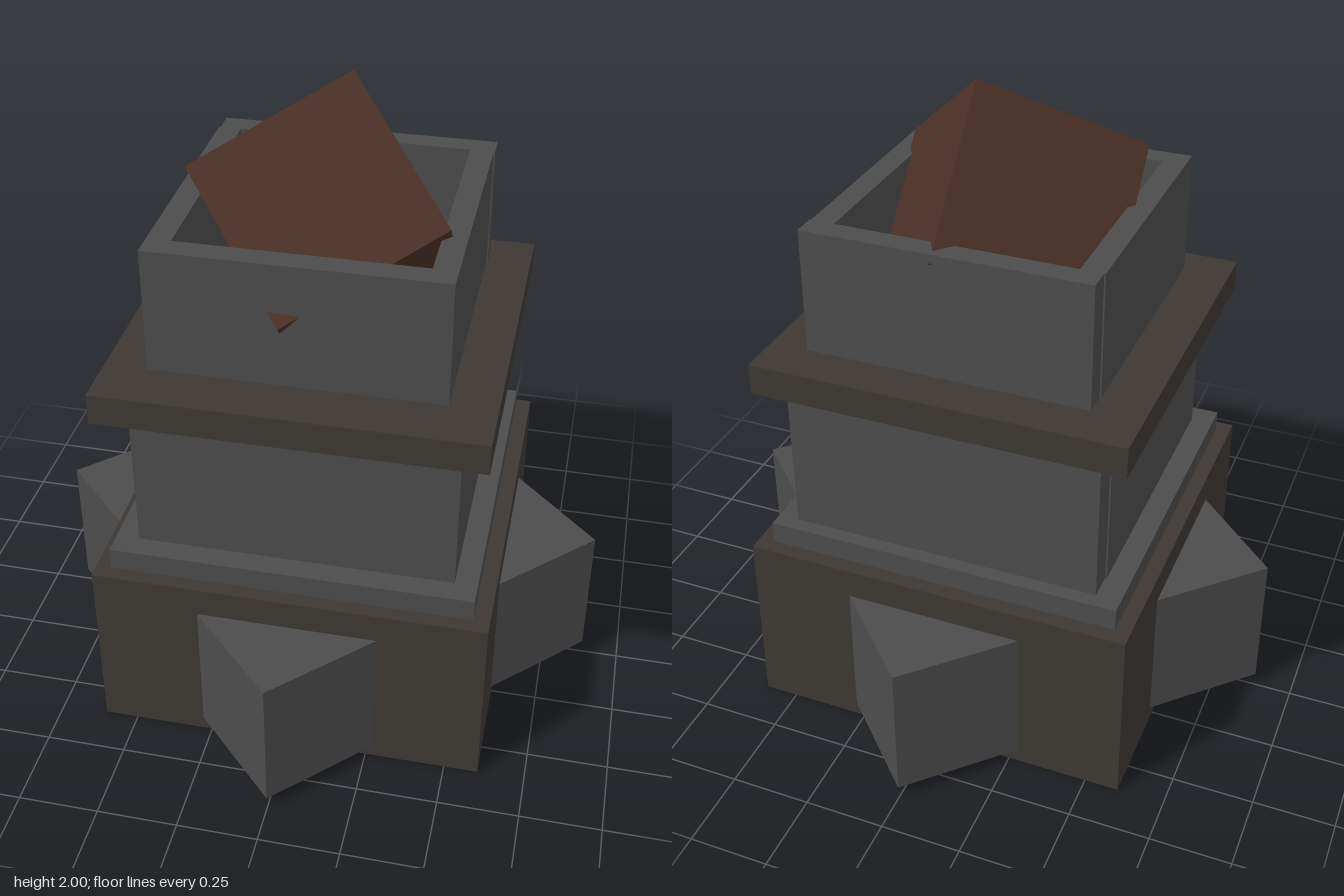
import * as THREE from 'three';

export function createModel() {
  const model = new THREE.Group();
  const mat = (color) => new THREE.MeshStandardMaterial({ color, flatShading: true });
  const stone = mat(0x4c4c4c);
  const trim = mat(0x3d3833);
  const rust = mat(0x4a3026);

  // Box given by its minimum and maximum corners
  const block = (name, material, [x0, y0, z0], [x1, y1, z1], parent = model) => {
    const mesh = new THREE.Mesh(new THREE.BoxGeometry(x1 - x0, y1 - y0, z1 - z0), material);
    mesh.position.set((x0 + x1) / 2, (y0 + y1) / 2, (z0 + z1) / 2);
    mesh.name = name;
    parent.add(mesh);
    return mesh;
  };

  // Four walls around a square opening; the back wall sits slightly further out
  const walls = (name, outer, back, thick, y0, y1) => {
    const ring = new THREE.Group();
    ring.name = name;
    const inner = outer - thick;
    block('frontWall', stone, [-outer, y0, inner], [outer, y1, outer], ring);
    block('backWall', stone, [-outer + 0.005, y0, -back], [outer + 0.004, y1, -back + thick], ring);
    block('rightWall', stone, [-outer, y0, -back + thick], [-inner, y1, inner], ring);
    block('leftWall', stone, [inner, y0, -back + thick], [outer, y1, inner], ring);
    model.add(ring);
  };

  // Base with a diagonal block whose corners show as four buttresses
  block('base', trim, [-0.605, 0, -0.605], [0.605, 0.585, 0.605]);
  const s = 0.882 / Math.SQRT2;
  block('buttresses', stone, [-s, 0.045, -s], [s, 0.49, s]).rotation.y = Math.PI / 4;

  // Plinth, shaft and cornice
  block('plinth', stone, [-0.558, 0.585, -0.556], [0.556, 0.655, 0.558]);
  walls('shaft', 0.487, 0.51, 0.085, 0.655, 1.135);
  block('cornice', trim, [-0.575, 1.135, -0.572], [0.573, 1.232, 0.575]);

  // Open parapet, just clear of the cornice
  walls('parapet', 0.436, 0.46, 0.072, 1.25, 1.637);

  // Tilted cube resting in the parapet, oriented by its three edge directions
  const cube = new THREE.Mesh(new THREE.BoxGeometry(0.548, 0.548, 0.548), rust);
  const u = new THREE.Vector3(-0.44, -0.23, 0.25).normalize();
  const w = new THREE.Vector3(0.025, 0.385, 0.38).normalize();
  const v = new THREE.Vector3().crossVectors(w, u).normalize();
  w.crossVectors(u, v);
  cube.quaternion.setFromRotationMatrix(new THREE.Matrix4().makeBasis(u, v, w));
  cube.position.set(-0.001, 1.532, 0.002);
  cube.name = 'tiltedCube';
  model.add(cube);

  return model;
}
